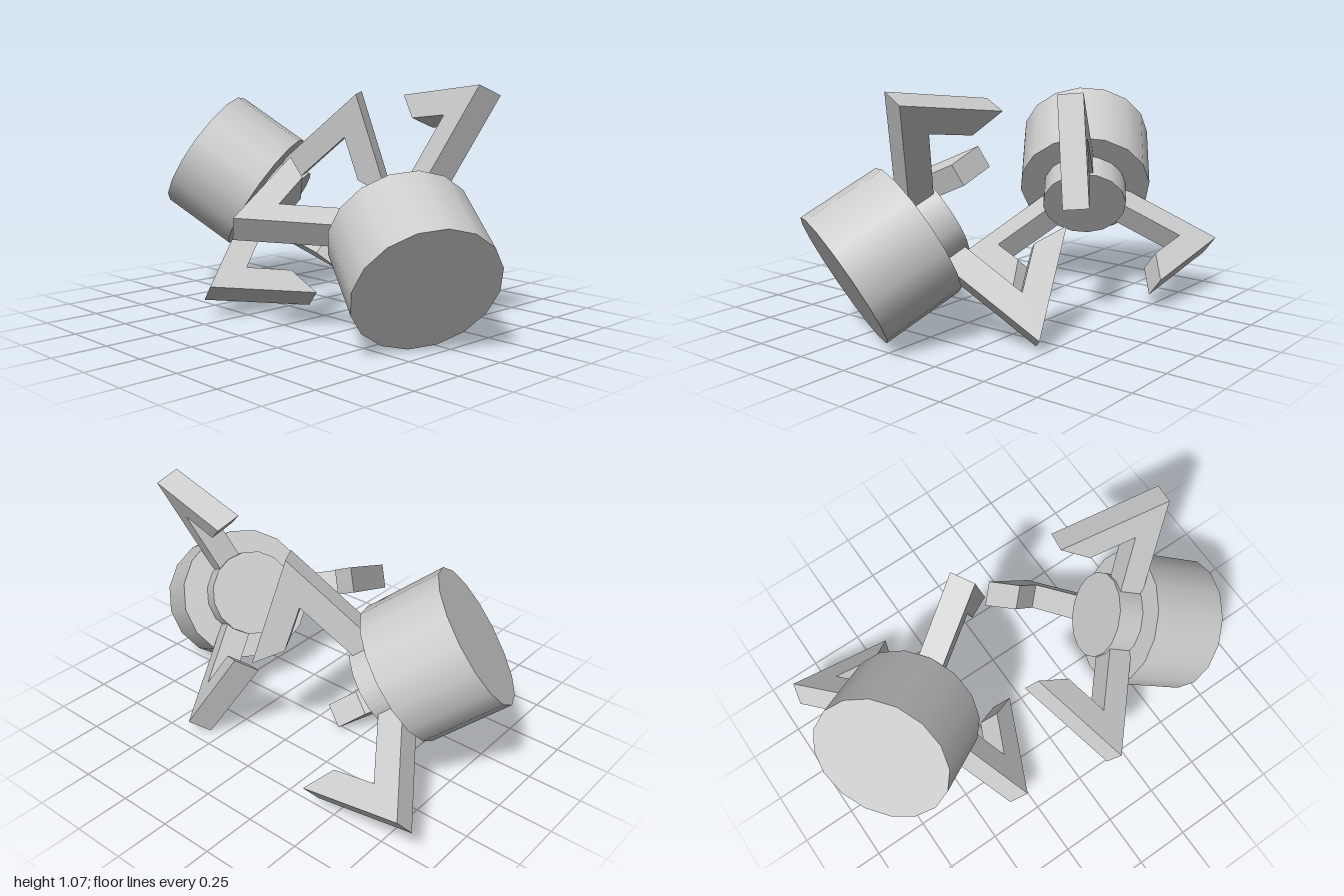
import * as THREE from 'three';

const material = new THREE.MeshStandardMaterial({ color: 0xcccccc });
const ARM = 0.115; // thickness of the square arm bars

function addMesh(parent, name, geometry) {
  const mesh = new THREE.Mesh(geometry, material);
  mesh.name = name;
  parent.add(mesh);
  return mesh;
}

// Bent finger: x is distance from the claw axis, y is distance along it
function fingerGeometry() {
  const profile = [
    [0.1, 0.338], [0.68, 0.489], [0.36, 0.88],
    [0.341, 0.722], [0.477, 0.555], [0.1, 0.457],
  ];
  const shape = new THREE.Shape(profile.map(([x, y]) => new THREE.Vector2(x, y)));
  const geometry = new THREE.ExtrudeGeometry(shape, { depth: ARM, bevelEnabled: false });
  return geometry.translate(0, 0, -ARM / 2);
}

// A drum, a neck and three fingers, pointing along local +y from the drum's rear face
function makeClaw(name, base, axis, firstFinger) {
  const claw = new THREE.Group();
  claw.name = name;

  addMesh(claw, 'drum', new THREE.CylinderGeometry(0.313, 0.313, 0.37, 16).translate(0, 0.185, 0));
  addMesh(claw, 'neck', new THREE.CylinderGeometry(0.198, 0.198, 0.2, 16).translate(0, 0.395, 0));

  const finger = fingerGeometry();
  for (let i = 0; i < 3; i++) {
    addMesh(claw, 'finger' + (i + 1), finger).rotation.y = (i * Math.PI * 2) / 3;
  }

  // Aim the claw: local y along the axis, local x towards the first finger
  const y = new THREE.Vector3(...axis).normalize();
  const z = new THREE.Vector3(...firstFinger).cross(y).normalize();
  const x = new THREE.Vector3().crossVectors(y, z);
  claw.quaternion.setFromRotationMatrix(new THREE.Matrix4().makeBasis(x, y, z));
  claw.position.set(...base);
  return claw;
}

export function createModel() {
  const model = new THREE.Group();
  model.name = 'clawPair';
  model.add(
    makeClaw('frontClaw', [-0.203, 0.283, 0.799], [0.405, 0.492, -0.771], [0.13, 0.53, 0.4]),
    makeClaw('backClaw', [-0.078, 0.725, -0.774], [0.463, -0.558, 0.689], [0.157, 0.558, 0.357]),
  );
  return model;
}
